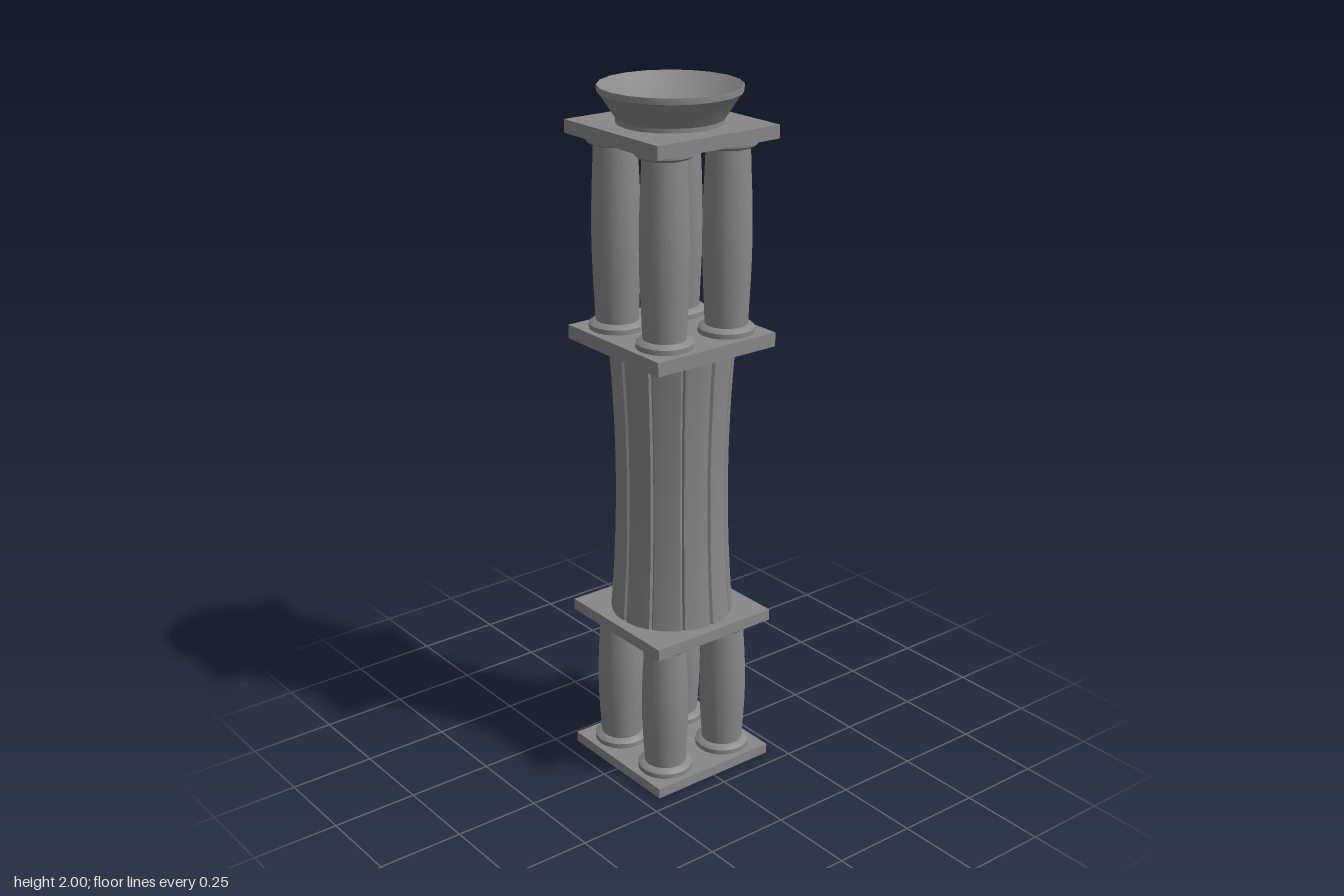
import * as THREE from 'three';
import { toCreasedNormals } from 'three/addons/utils/BufferGeometryUtils.js';

const material = new THREE.MeshStandardMaterial({ color: 0x888888 });

function part(geometry, name, x = 0, y = 0, z = 0) {
  const mesh = new THREE.Mesh(geometry, material);
  mesh.name = name;
  mesh.position.set(x, y, z);
  return mesh;
}

function turned(profile, sides) {
  const points = profile.map(([r, y]) => new THREE.Vector2(r, y));
  return toCreasedNormals(new THREE.LatheGeometry(points, sides), 0.45);
}

// Barrel-shaped column with a stepped disc at each end
function columnGeometry(height) {
  const profile = [[0, 0], [0.079, 0], [0.079, 0.014], [0.072, 0.02], [0.06, 0.024]];
  const steps = 8, bottom = 0.024, top = height - 0.024;
  for (let i = 1; i < steps; i++) {
    const t = i / steps;
    profile.push([0.059 + 0.009 * Math.sin(Math.PI * t), bottom + (top - bottom) * t]);
  }
  profile.push([0.06, top], [0.072, height - 0.02], [0.079, height - 0.014], [0.079, height], [0, height]);
  return turned(profile, 24);
}

// Waisted drum: twelve broad staves parted by narrow grooves
function shaftGeometry(height) {
  const shape = new THREE.Shape();
  const staves = 12, gap = 0.035;
  for (let i = 0; i < staves; i++) {
    const a = (i / staves) * Math.PI * 2, w = (Math.PI * 2) / staves;
    const corners = [[0, 0.96], [gap, 1], [w / 2, 1.005], [w - gap, 1]];
    for (const [da, r] of corners) {
      const x = r * Math.cos(a + da), y = r * Math.sin(a + da);
      if (i === 0 && da === 0) shape.moveTo(x, y);
      else shape.lineTo(x, y);
    }
  }
  shape.closePath();
  const geometry = new THREE.ExtrudeGeometry(shape, { depth: height, steps: 12, bevelEnabled: false });
  geometry.rotateX(-Math.PI / 2);
  const p = geometry.attributes.position;
  for (let i = 0; i < p.count; i++) {
    const t = (p.getY(i) / height) * 2 - 1;
    const r = 0.159 + 0.017 * t * t;
    p.setX(i, p.getX(i) * r);
    p.setZ(i, p.getZ(i) * r);
  }
  return toCreasedNormals(geometry, 0.4);
}

export function createModel() {
  const model = new THREE.Group();
  model.name = 'columnTower';

  // Square slabs between the tiers
  const slabs = [['baseSlab', 0, 0.03], ['lowerSlab', 0.447, 0.48], ['upperSlab', 1.287, 1.327], ['topSlab', 1.863, 1.9]];
  for (const [name, bottom, top] of slabs) {
    model.add(part(new THREE.BoxGeometry(0.405, top - bottom, 0.405), name, 0, (bottom + top) / 2));
  }

  // Two tiers of four columns
  for (const [name, bottom, top] of [['lowerColumn', 0.03, 0.447], ['upperColumn', 1.327, 1.863]]) {
    const geometry = columnGeometry(top - bottom);
    for (const x of [-0.106, 0.108]) {
      for (const z of [-0.106, 0.106]) model.add(part(geometry, name, x, bottom, z));
    }
  }

  // Grooved drum in the middle, very slightly off axis
  const shaft = part(shaftGeometry(0.807), 'groovedShaft', 0.004, 0.48, -0.003);
  shaft.rotation.y = 0.04;
  model.add(shaft);

  // Flared bowl on a low foot, with a shallow hollow inside
  const bowl = [[0, 0], [0.146, 0], [0.146, 0.012], [0.188, 0.076], [0.195, 0.083], [0.195, 0.1]];
  for (let i = 0; i <= 8; i++) {
    const t = 1 - i / 8;
    bowl.push([0.193 * t, 0.1 - 0.075 * (1 - t * t)]);
  }
  model.add(part(turned(bowl, 20), 'bowl', 0, 1.9, -0.004));

  return model;
}
